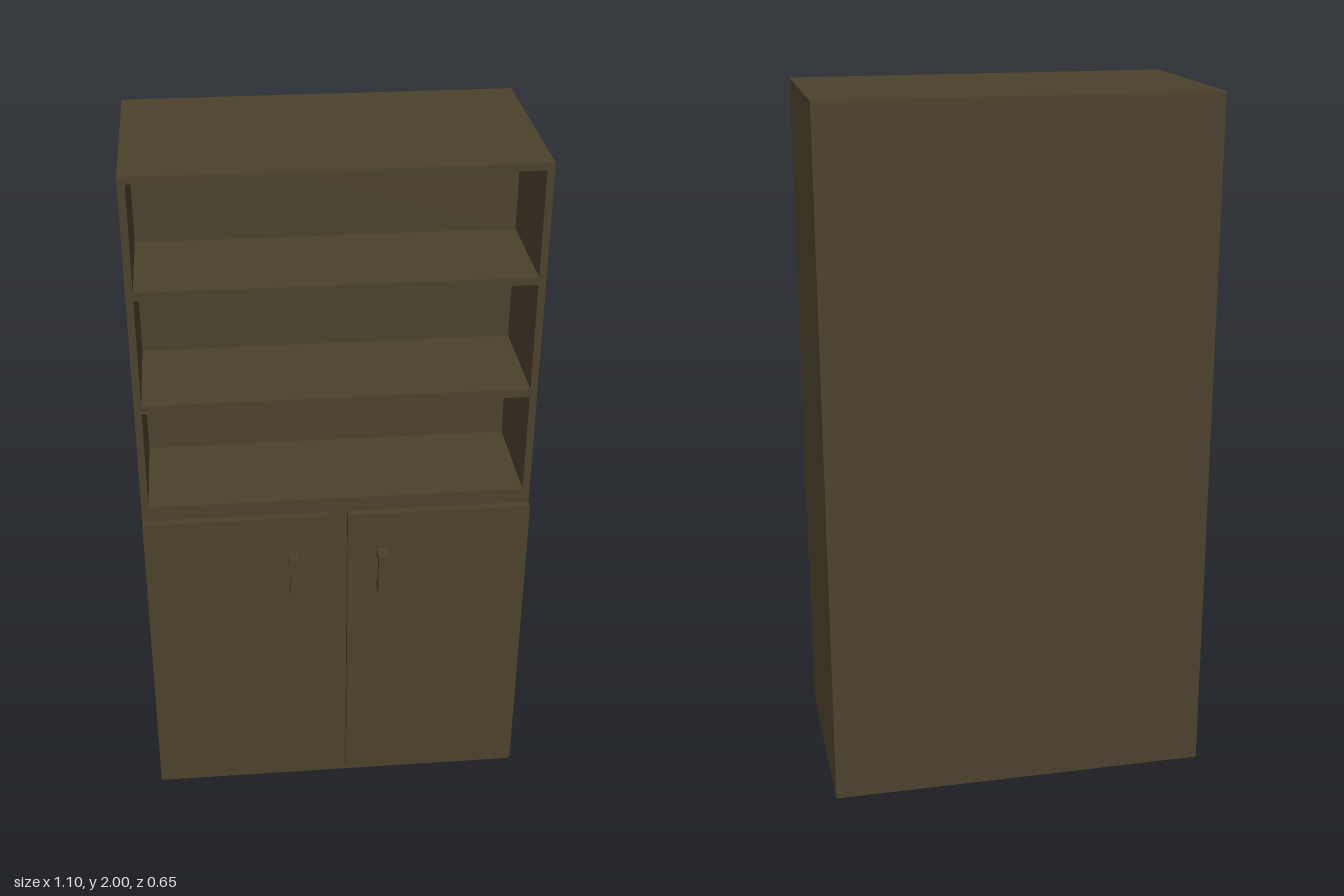
import * as THREE from 'three';

const W = 0.55, H = 2, BACK = -0.327, FRONT = 0.262, DOOR = 0.285, TIP = 0.327;
const DOOR_Y0 = 0.03, DOOR_Y1 = 0.98, POST = 0.028;
const CUBBY_W = 0.53, CUBBY_BACK = -0.06;
const CUBBIES = [[1.025, 1.325], [1.35, 1.663], [1.685, 1.98]];

// Box between two corners without the listed sides (+x -x +y -y +z -z = 0..5)
function openBox([x0, y0, z0], [x1, y1, z1], omit) {
  const g = new THREE.BoxGeometry(x1 - x0, y1 - y0, z1 - z0);
  const index = Array.from(g.index.array).filter((_, i) => !omit.includes(Math.floor(i / 6)));
  g.setIndex(index);
  g.clearGroups();
  return g.translate((x0 + x1) / 2, (y0 + y1) / 2, (z0 + z1) / 2);
}

function trace(path, points) {
  points.forEach(([x, y], i) => (i ? path.lineTo(x, y) : path.moveTo(x, y)));
  path.closePath();
  return path;
}
const rect = (x0, y0, x1, y1) => [[x0, y0], [x1, y0], [x1, y1], [x0, y1]];

export function createModel() {
  const group = new THREE.Group();
  group.name = 'cupboard';
  const wood = new THREE.MeshStandardMaterial({ color: 0x4b412c, side: THREE.DoubleSide });
  wood.name = 'dark wood';
  const add = (name, geometry) => {
    const mesh = new THREE.Mesh(geometry, wood);
    mesh.name = name;
    group.add(mesh);
    return mesh;
  };

  // Thin shell, open underneath and at the front
  add('carcass', openBox([-W, 0, BACK], [W, H, FRONT], [3, 4]));

  // Front frame around the shelves, and the strips around the doors
  const frame = trace(new THREE.Shape(), rect(-W, DOOR_Y1, W, H));
  for (const [y0, y1] of CUBBIES) {
    frame.holes.push(trace(new THREE.Path(), rect(-CUBBY_W, y0, CUBBY_W, y1)));
  }
  const flat = (shape) => new THREE.ShapeGeometry(shape).translate(0, 0, FRONT);
  add('shelfFrame', flat(frame));
  add('centrePost', flat(trace(new THREE.Shape(), rect(-POST, DOOR_Y0, POST, DOOR_Y1))));
  add('bottomRail', flat(trace(new THREE.Shape(), rect(-W, 0, W, DOOR_Y0))));

  // Shelf compartments, open at the front
  CUBBIES.forEach(([y0, y1], i) => {
    add(`shelfCompartment${i + 1}`,
      openBox([-CUBBY_W, y0, CUBBY_BACK], [CUBBY_W, y1, FRONT], [4]));
  });

  // Handle side profile: a bracket standing off the door
  const profile = trace(new THREE.Shape(), [
    [DOOR, 0.73], [TIP, 0.73], [TIP, 0.86], [DOOR, 0.86],
    [DOOR, 0.833], [0.308, 0.833], [0.308, 0.757], [DOOR, 0.757],
  ]);
  const handle = new THREE.ExtrudeGeometry(profile, { depth: 0.027, bevelEnabled: false })
    .translate(0, 0, -0.0135)
    .rotateY(-Math.PI / 2);

  // Doors, hollow behind, with their handles
  for (const [side, s] of [['left', 1], ['right', -1]]) {
    const x0 = s > 0 ? POST : -W, x1 = s > 0 ? W : -POST;
    add(`${side}Door`, openBox([x0, DOOR_Y0, FRONT], [x1, DOOR_Y1, DOOR], [5]));
    add(`${side}Handle`, handle).position.x = s * 0.127;
  }
  return group;
}
